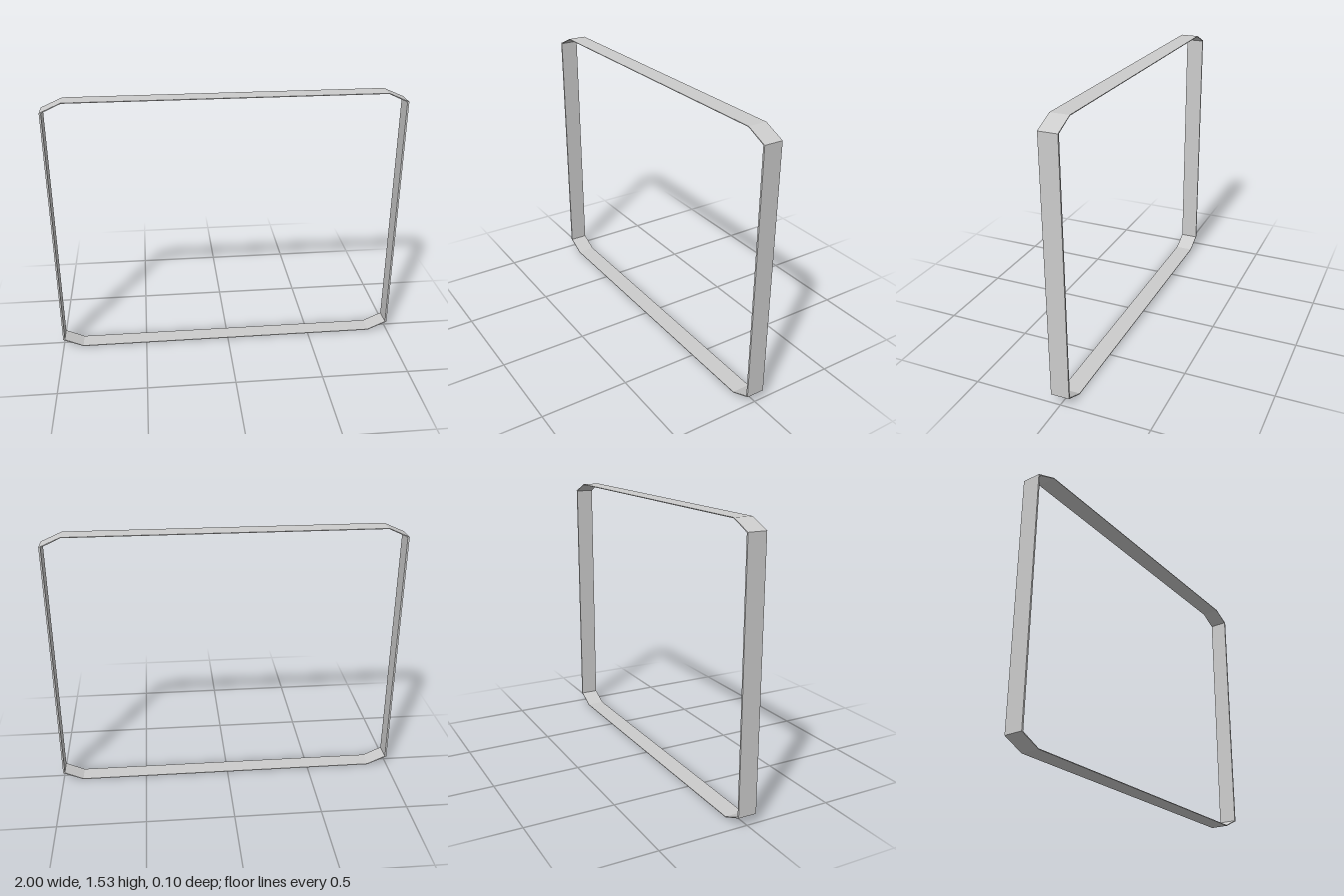
import * as THREE from 'three';

const HALF_WIDTH = 1, HEIGHT = 1.53, DEPTH = 0.104;
const CUT_X = 0.118, CUT_Y = 0.052; // chamfer size at each corner
const SIDE_WALL = 0.01, FLAT_WALL = 0.004; // thickness of uprights and of top/bottom rails

// Octagonal outline: a rectangle with its four corners cut off
function chamferedRect(halfW, halfH, cutX, cutY) {
  const x = halfW - cutX, y = halfH - cutY;
  return [
    [x, -halfH], [halfW, -y], [halfW, y], [x, halfH],
    [-x, halfH], [-halfW, y], [-halfW, -y], [-x, -halfH],
  ].map(([px, py]) => new THREE.Vector2(px, py));
}

export function createModel() {
  const group = new THREE.Group();
  group.name = 'frame';

  // Thin band: outer outline with a slightly smaller hole, extruded in z
  const outline = new THREE.Shape(chamferedRect(HALF_WIDTH, HEIGHT / 2, CUT_X, CUT_Y));
  const opening = chamferedRect(
    HALF_WIDTH - SIDE_WALL, HEIGHT / 2 - FLAT_WALL, CUT_X - SIDE_WALL, CUT_Y - FLAT_WALL / 2);
  outline.holes.push(new THREE.Path(opening.reverse()));

  const geometry = new THREE.ExtrudeGeometry(outline, { depth: DEPTH, bevelEnabled: false });
  geometry.translate(0, HEIGHT / 2, -DEPTH / 2);

  const band = new THREE.Mesh(
    geometry, new THREE.MeshStandardMaterial({ color: 0xcccccc, flatShading: true }));
  band.name = 'frameBand';
  group.add(band);
  return group;
}
